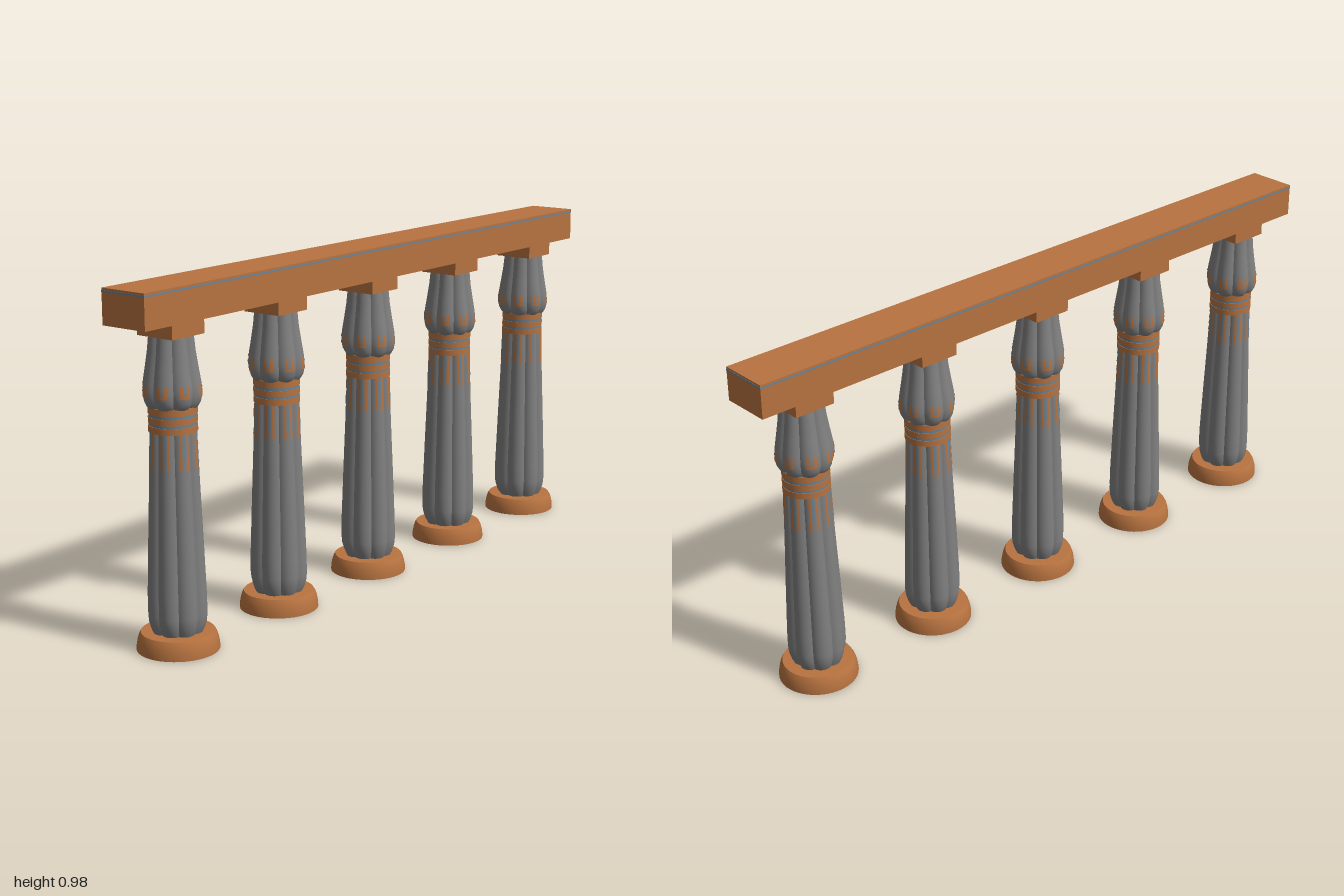
import * as THREE from 'three';
import { mergeGeometries } from 'three/addons/utils/BufferGeometryUtils.js';

const grey = new THREE.MeshStandardMaterial({ color: 0x808080 });
const ochre = new THREE.MeshStandardMaterial({ color: 0xb87340 });
const blue = new THREE.MeshStandardMaterial({ color: 0x6b8496 });

const LOBES = 8;
const STEP = (Math.PI * 2) / LOBES;

// Profiles as [height, half-width], bottom to top
const shaftProfile = [
  [0.045, 0.062], [0.06, 0.069], [0.08, 0.075], [0.1, 0.077], [0.15, 0.0765],
  [0.3, 0.071], [0.45, 0.065], [0.6, 0.06],
];
const capitalProfile = [
  [0.652, 0.06], [0.658, 0.066], [0.67, 0.072], [0.685, 0.075], [0.7, 0.0755],
  [0.72, 0.0735], [0.76, 0.067], [0.8, 0.061], [0.842, 0.057],
];

function radiusAt(profile, y) {
  let i = 1;
  while (i < profile.length - 1 && profile[i][0] < y) i++;
  const [y0, r0] = profile[i - 1];
  const [y1, r1] = profile[i];
  return r0 + ((r1 - r0) * (y - y0)) / (y1 - y0);
}

// Outline of one round stem in the bundle; a is measured from the stem's middle
function stem(a) {
  const d = 0.6, r = 0.4;
  return (d * Math.cos(a) + Math.sqrt(r * r - (d * Math.sin(a)) ** 2)) / 0.954;
}

// Patch of a stem's surface between two angles and two heights, raised by lift
function stemPatch(profile, centre, a0, a1, y0, y1, lift = 0, n = 10) {
  const rows = [y0, ...profile.map((p) => p[0]).filter((y) => y > y0 && y < y1), y1];
  const pos = [], index = [];
  rows.forEach((y, i) => {
    for (let j = 0; j <= n; j++) {
      const a = a0 + ((a1 - a0) * j) / n;
      const r = radiusAt(profile, y) * stem(a) + lift;
      pos.push(r * Math.sin(centre + a), y, r * Math.cos(centre + a));
      if (i < rows.length - 1 && j < n) {
        const p = i * (n + 1) + j, q = p + n + 1;
        index.push(p, p + 1, q, p + 1, q + 1, q);
      }
    }
  });
  const g = new THREE.BufferGeometry();
  g.setAttribute('position', new THREE.Float32BufferAttribute(pos, 3));
  g.setIndex(index);
  g.computeVertexNormals();
  return g;
}

// Repeats a patch on every stem
function bundle(profile, a0, a1, y0, y1, lift, n) {
  const parts = [];
  for (let k = 0; k < LOBES; k++) {
    parts.push(stemPatch(profile, (k + 0.5) * STEP, a0, a1, y0, y1, lift, n));
  }
  return mergeGeometries(parts);
}

function add(parent, name, geometry, material, y = 0) {
  const mesh = new THREE.Mesh(geometry, material);
  mesh.name = name;
  mesh.position.y = y;
  parent.add(mesh);
  return mesh;
}

function createColumn() {
  const column = new THREE.Group();
  const half = STEP / 2;

  // Round base with a curved shoulder
  const basePoints = [[0, 0], [0.11, 0], [0.11, 0], [0.1095, 0.012], [0.107, 0.027],
    [0.103, 0.04], [0.098, 0.049], [0.098, 0.049], [0, 0.05]];
  add(column, 'base', new THREE.LatheGeometry(
    basePoints.map(([x, y]) => new THREE.Vector2(x, y)), 40), ochre);

  // Bundled shaft and bud capital
  add(column, 'shaft', bundle(shaftProfile, -half, half, 0.045, 0.6), grey);
  add(column, 'capital', bundle(capitalProfile, -half, half, 0.652, 0.842), grey);

  // Binding rings, alternating in colour
  const edges = [0.59, 0.607, 0.614, 0.63, 0.638, 0.656];
  for (let i = 0; i < 5; i++) {
    const h = edges[i + 1] - edges[i];
    const r = i % 2 ? 0.0625 : 0.064;
    add(column, 'bindingRing', new THREE.CylinderGeometry(r, r, h, 40),
      i % 2 ? blue : ochre, edges[i] + h / 2);
  }

  // Painted reeds hanging under the rings
  for (const side of [-1, 1]) {
    add(column, 'hangingReed', bundle(shaftProfile, side * 0.15 - 0.05, side * 0.15 + 0.05,
      0.495, 0.592, 0.001, 3), ochre);
    // Small buds at the foot of the capital
    add(column, 'capitalReed', bundle(capitalProfile, side * 0.13 - 0.05, side * 0.13 + 0.05,
      0.685, 0.718, 0.001, 3), ochre);
  }
  add(column, 'reedCentre', bundle(shaftProfile, -0.05, 0.05, 0.52, 0.592, 0.0008, 3), blue);
  add(column, 'capitalReedFoot', bundle(capitalProfile, -0.1, 0.1, 0.685, 0.694, 0.001, 4), ochre);

  // Square block under the beam
  add(column, 'abacus', new THREE.BoxGeometry(0.12, 0.042, 0.12), ochre, 0.861);
  return column;
}

export function createModel() {
  const model = new THREE.Group();
  model.name = 'colonnade';

  // Row of five columns
  const column = createColumn();
  for (let i = -2; i <= 2; i++) {
    const copy = column.clone();
    copy.name = 'column';
    copy.position.x = i * 0.415;
    model.add(copy);
  }

  // Beam with a thin painted line near its top
  add(model, 'beam', new THREE.BoxGeometry(1.998, 0.095, 0.144), ochre, 0.9275);
  add(model, 'beamLine', new THREE.BoxGeometry(2, 0.005, 0.146), blue, 0.967);
  return model;
}
